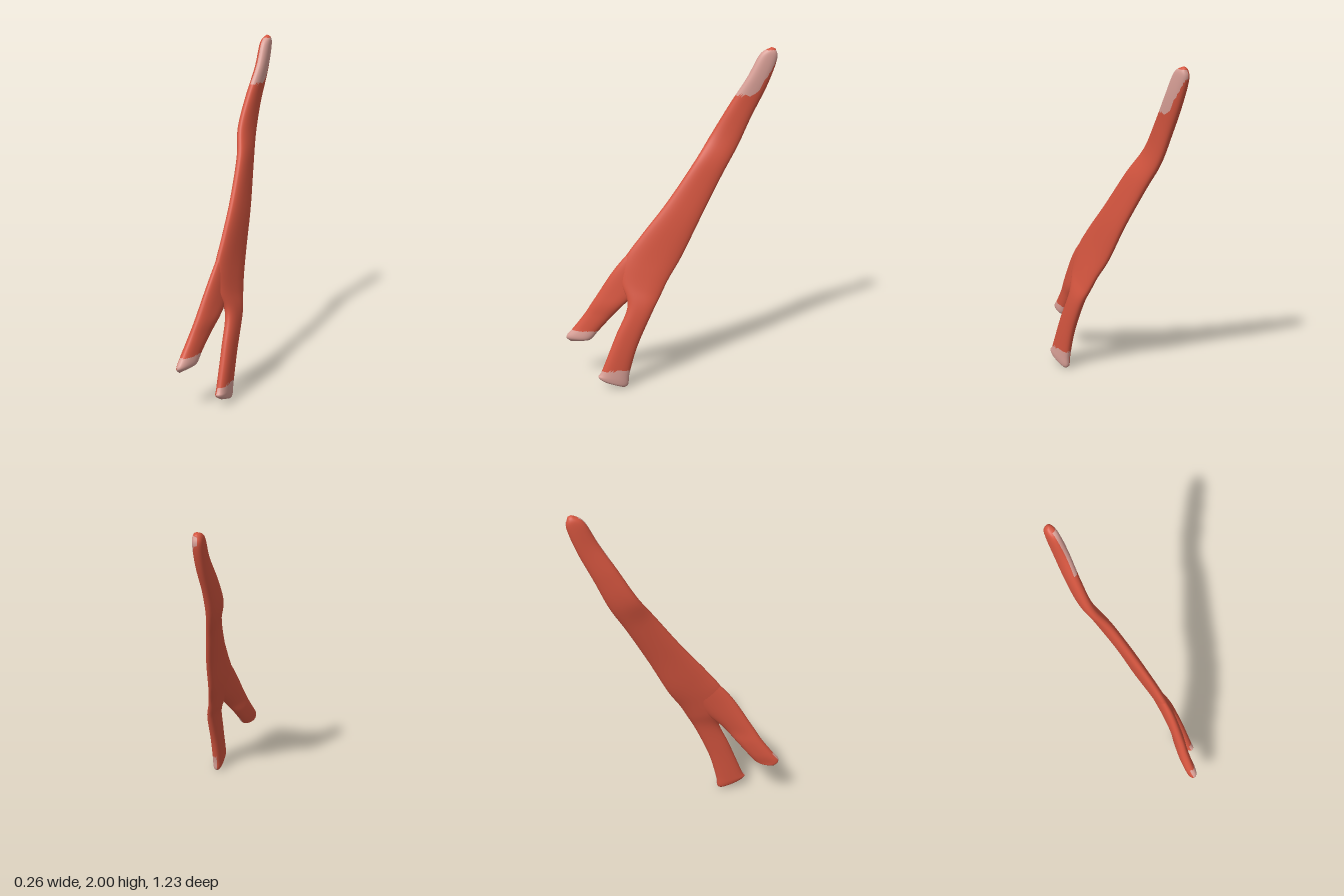
import * as THREE from 'three';

const SIDES = 32, STEPS = 8;

// Smooth strap lofted through flattened sections.
// Each section: front edge x,y,z then back edge x,y,z.
function strap(name, sections, isTendon, materials) {
  const curve = (o) => new THREE.CatmullRomCurve3(
    sections.map((s) => new THREE.Vector3(s[o], s[o + 1], s[o + 2])), false, 'catmullrom', 0.5);
  const front = curve(0), back = curve(3);
  const rows = (sections.length - 1) * STEPS;
  const pos = [], red = [], pale = [], centres = [];
  const down = new THREE.Vector3(0, -0.82, 0.57);
  const round = (v) => Math.sign(v) * Math.pow(Math.abs(v), 0.85);

  for (let i = 0; i <= rows; i++) {
    const f = front.getPoint(i / rows), b = back.getPoint(i / rows);
    const mid = f.clone().add(b).multiplyScalar(0.5);
    const half = f.clone().sub(b).multiplyScalar(0.5);
    const n = half.clone().cross(down).normalize();
    // Thickness rounds off towards both ends
    const d = Math.min(1, Math.min(i, rows - i) / (1.7 * STEPS));
    const h = 0.008 + 0.025 * Math.sqrt(1 - (1 - d) ** 2);
    for (let j = 0; j < SIDES; j++) {
      const a = (j / SIDES) * Math.PI * 2;
      const p = mid.clone().addScaledVector(half, round(Math.cos(a))).addScaledVector(n, h * round(Math.sin(a)));
      pos.push(p.x, p.y, p.z);
    }
    centres.push(mid);
  }
  // Centre points closing both ends
  const top = pos.length / 3, bottom = top + 1;
  pos.push(...centres[0].toArray(), ...centres[rows].toArray());

  // Each face goes to muscle or tendon by its place on the outer side
  const add = (j, ...tri) => {
    const y = tri.reduce((s, k) => s + pos[k * 3 + 1], 0) / 3;
    const z = tri.reduce((s, k) => s + pos[k * 3 + 2], 0) / 3;
    const outer = Math.sin(((j + 0.5) / SIDES) * Math.PI * 2) > -0.1;
    (outer && isTendon(y, z) ? pale : red).push(...tri);
  };
  for (let j = 0; j < SIDES; j++) {
    const k = (j + 1) % SIDES;
    for (let i = 0; i < rows; i++) {
      const a = i * SIDES + j, b = i * SIDES + k;
      add(j, a, a + SIDES, b);
      add(j, b, a + SIDES, b + SIDES);
    }
    add(j, top, j, k);
    add(j, bottom, rows * SIDES + k, rows * SIDES + j);
  }

  const geo = new THREE.BufferGeometry();
  geo.setAttribute('position', new THREE.Float32BufferAttribute(pos, 3));
  geo.setIndex([...red, ...pale]);
  geo.addGroup(0, red.length, 0);
  geo.addGroup(red.length, pale.length, 1);
  geo.computeVertexNormals();
  const mesh = new THREE.Mesh(geo, materials);
  mesh.name = name;
  return mesh;
}

export function createModel() {
  const muscle = new THREE.MeshStandardMaterial({ color: 0xd4553f });
  muscle.name = 'muscle red';
  const tendon = new THREE.MeshStandardMaterial({ color: 0xd9a097 });
  tendon.name = 'tendon pink';
  const materials = [muscle, tendon];

  const group = new THREE.Group();
  group.name = 'forkedMuscle';

  // Long belly, running from the upper tip down into the rear branch
  group.add(strap('bellyAndRearBranch', [
    [0.065, 2.0, -0.58, 0.07, 1.99, -0.603],
    [0.055, 1.96, -0.515, 0.07, 1.93, -0.612],
    [0.045, 1.83, -0.445, 0.06, 1.78, -0.56],
    [0.01, 1.66, -0.345, 0.044, 1.6, -0.475],
    [-0.01, 1.49, -0.245, 0.04, 1.43, -0.397],
    [0.018, 1.34, -0.135, 0.052, 1.26, -0.295],
    [0.022, 1.115, 0.03, 0.075, 1.02, -0.16],
    [0.015, 0.93, 0.18, 0.083, 0.8, -0.045],
    [0.005, 0.79, 0.28, 0.095, 0.67, 0.04],
    [0.02, 0.66, 0.31, 0.105, 0.58, 0.09],
    [0.07, 0.52, 0.283, 0.115, 0.475, 0.147],
    [0.075, 0.335, 0.36, 0.105, 0.27, 0.235],
    [0.07, 0.12, 0.445, 0.098, 0.1, 0.282],
    [0.07, 0.08, 0.468, 0.096, 0.025, 0.292],
    [0.08, 0.045, 0.43, 0.095, 0.004, 0.315],
  ], (y, z) => y < 0.125 || (y > 1.73 && y < 1.985 && y > 1.74 - 1.6 * (z + 0.49)), materials));

  // Front branch, splitting off the belly
  group.add(strap('frontBranch', [
    [0.025, 0.92, 0.17, 0.05, 0.8, 0.06],
    [-0.01, 0.74, 0.328, 0.055, 0.63, 0.175],
    [-0.058, 0.535, 0.45, 0.035, 0.515, 0.295],
    [-0.085, 0.43, 0.51, -0.005, 0.42, 0.37],
    [-0.107, 0.345, 0.57, -0.035, 0.335, 0.435],
    [-0.118, 0.285, 0.615, -0.052, 0.275, 0.482],
    [-0.115, 0.25, 0.59, -0.08, 0.258, 0.52],
  ], (y) => y < 0.335, materials));

  return group;
}
